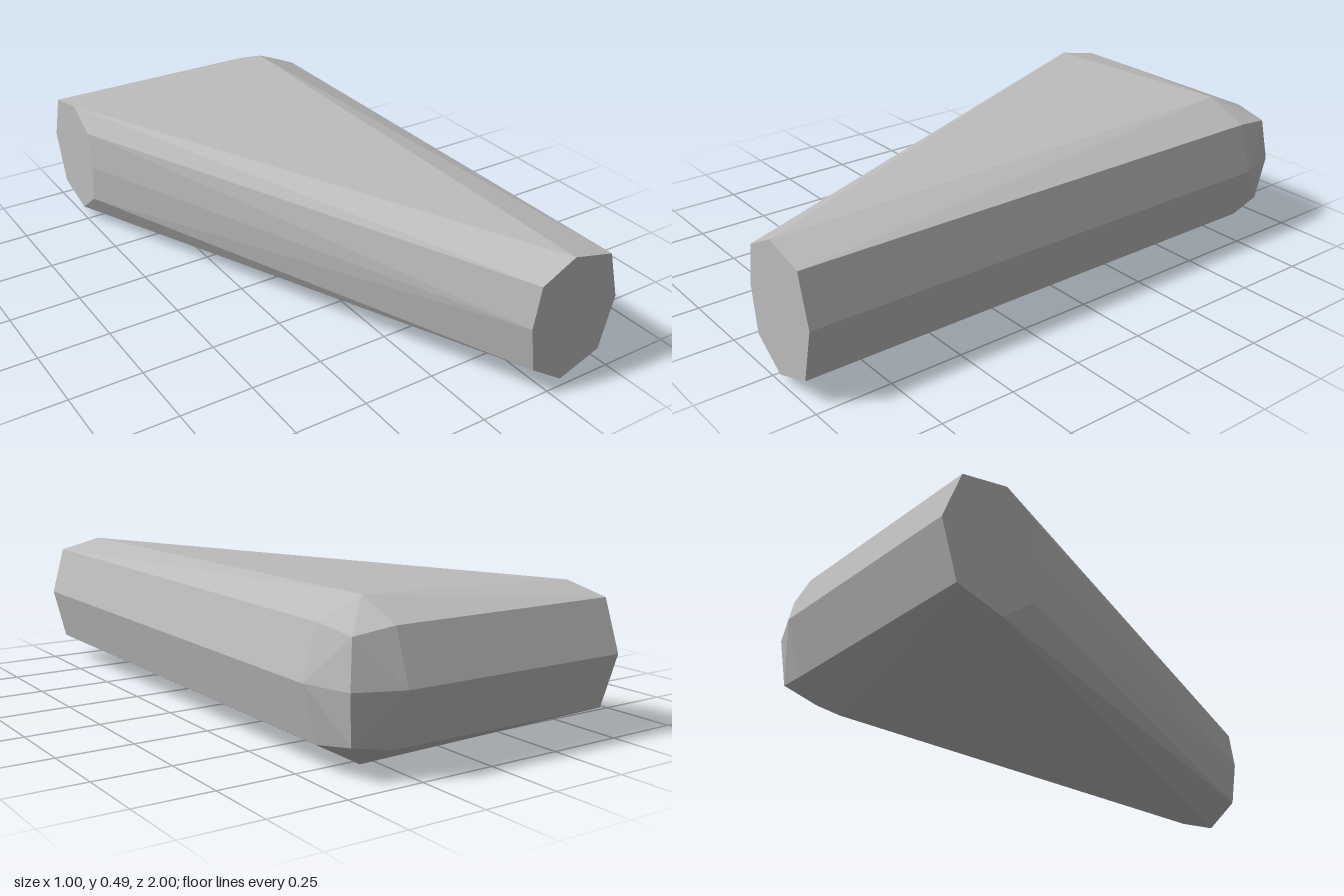
import * as THREE from 'three';
import { ConvexGeometry } from 'three/addons/geometries/ConvexGeometry.js';

const grey = new THREE.MeshStandardMaterial({ color: 0xbcbcbc });
grey.name = 'plain grey';

export function createModel() {
  const group = new THREE.Group();
  group.name = 'bentWedge';

  // eight-sided front cap, in the plane z = 1
  const frontCap = [[0.3, 0.466], [0.45, 0.43], [0.495, 0.265], [0.45, 0.085],
    [0.3, 0.03], [0.18, 0.11], [0.157, 0.265], [0.18, 0.405]]
    .map(([x, y]) => new THREE.Vector3(x, y, 1));

  // eight-sided side cap, in the plane x = -0.5
  const sideCap = [[-0.78, 0.463], [-0.94, 0.43], [-1, 0.265], [-0.94, 0.085],
    [-0.78, 0.04], [-0.67, 0.125], [-0.65, 0.265], [-0.67, 0.395]]
    .map(([z, y]) => new THREE.Vector3(-0.5, y, z));

  // rounded outer corner: three arcs around the pivot, plus top and bottom peaks
  const corner = [new THREE.Vector3(0.3, 0.492, -0.78), new THREE.Vector3(0.3, 0.002, -0.78)];
  for (const [y, reach, diagX, diagZ] of [
    [0.43, 0.15, 0.43, -0.915], [0.265, 0.195, 0.448, -0.935], [0.085, 0.15, 0.43, -0.915]]) {
    const diagY = 0.265 + (y - 0.265) * 0.88;
    corner.push(
      new THREE.Vector3(0.3 + reach, y, -0.78),
      new THREE.Vector3(diagX, diagY, diagZ),
      new THREE.Vector3(0.3, y, y === 0.265 ? -0.995 : -0.935));
  }

  // one faceted solid spanning both caps and the corner
  const body = new THREE.Mesh(new ConvexGeometry([...frontCap, ...sideCap, ...corner]), grey);
  body.name = 'wedgeBody';
  group.add(body);
  return group;
}
